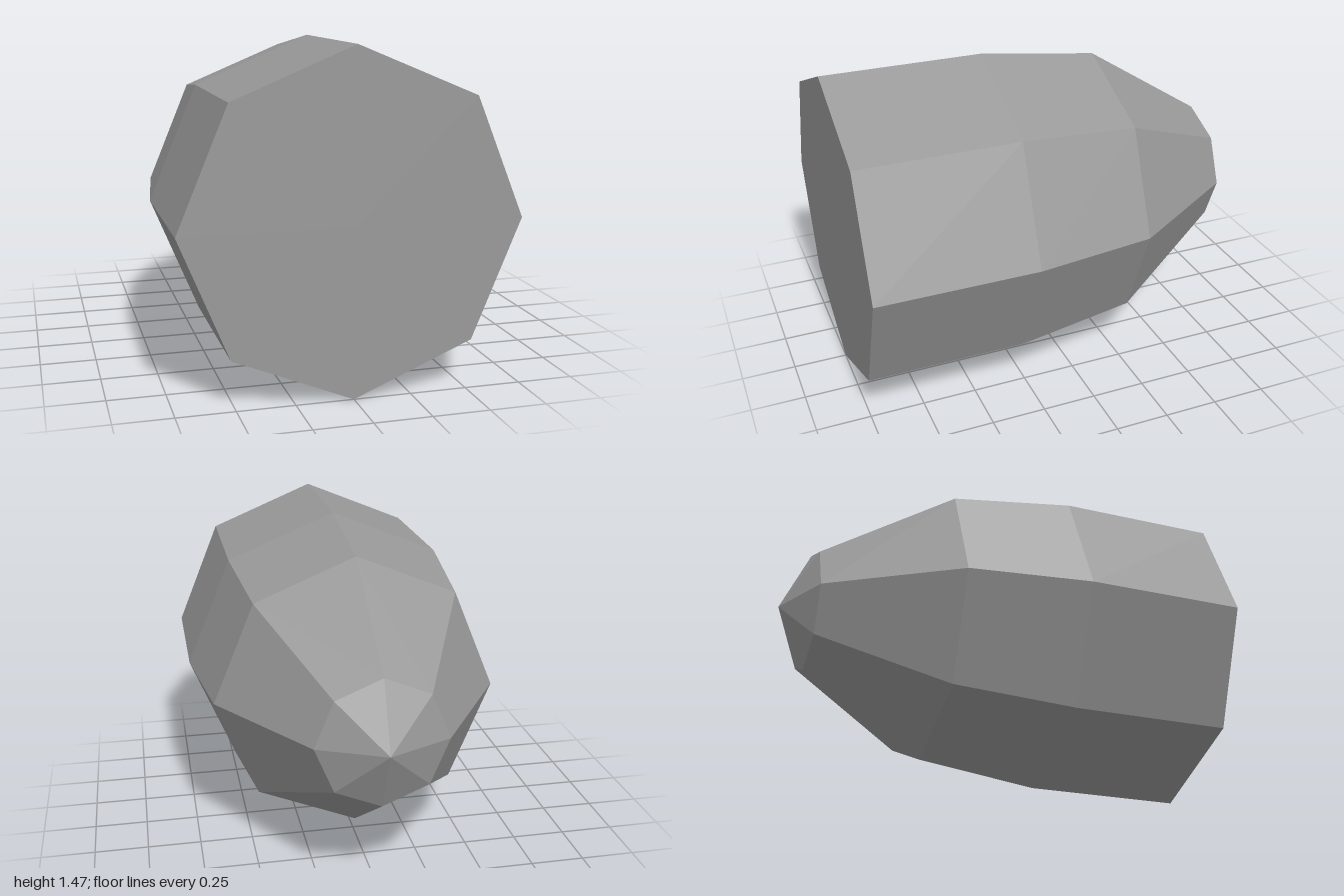
import * as THREE from 'three';

export function createModel() {
  const group = new THREE.Group();
  group.name = 'bullet';
  const grey = new THREE.MeshStandardMaterial({ color: 0x999999, flatShading: true });
  grey.name = 'grey metal';

  // Profile as [radius, z], from the pointed back tip to the flat front base
  const profile = [[0, -1], [0.295, -0.865], [0.66, -0.3], [0.735, 0.26], [0.735, 1], [0, 1]]
    .map(([r, z]) => new THREE.Vector2(r, z));

  // Eight-sided body, its axis turned from y to z
  const geometry = new THREE.LatheGeometry(profile, 8);
  geometry.rotateX(Math.PI / 2);
  const body = new THREE.Mesh(geometry, grey);
  body.name = 'bulletBody';
  body.position.y = 0.735;
  group.add(body);
  return group;
}
